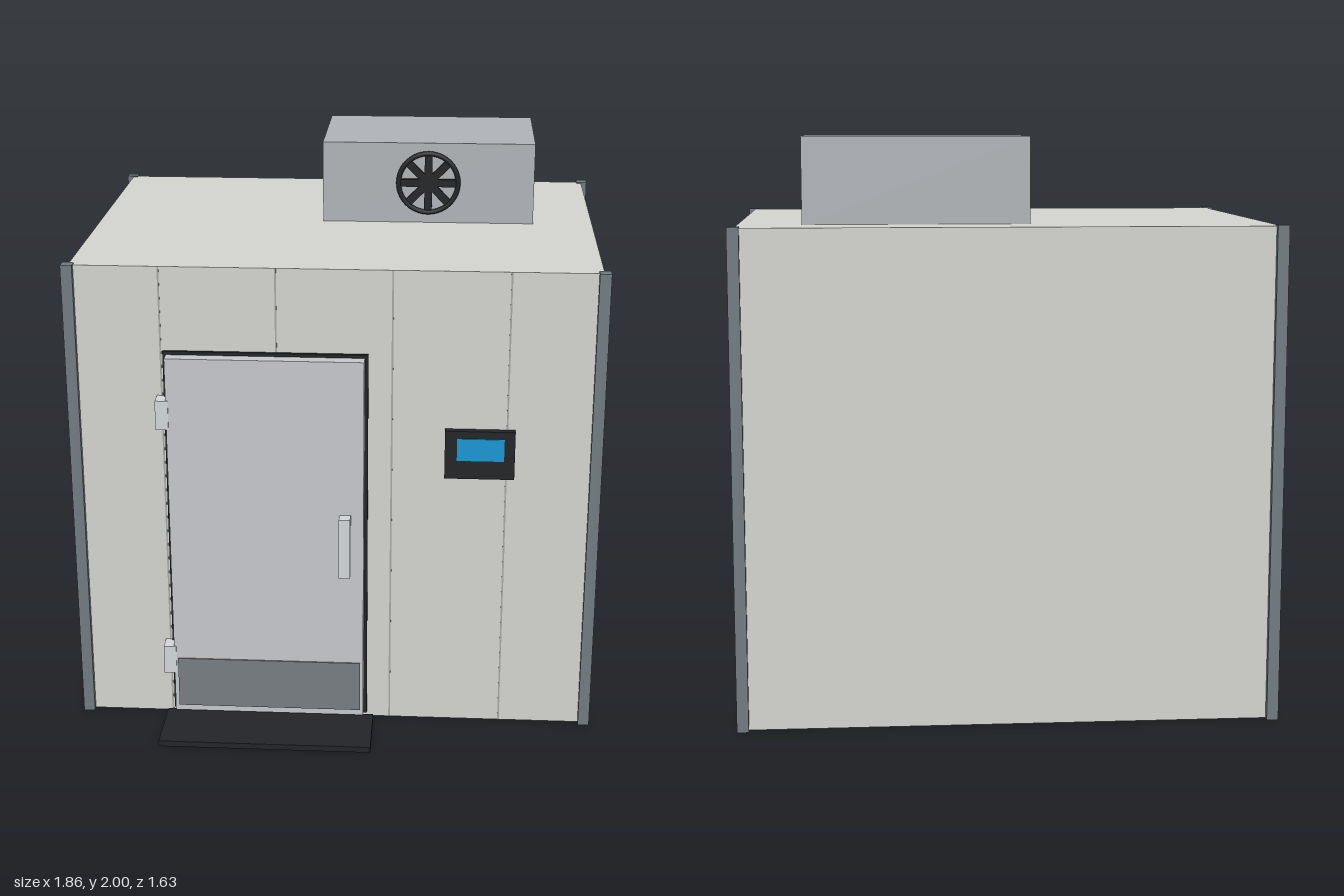
import * as THREE from 'three';

const mat = (color) => new THREE.MeshStandardMaterial({ color });

export function createModel() {
  const group = new THREE.Group();
  const wall = mat(0xd2d3ce), steel = mat(0x717a80), unit = mat(0xaeb2b6), doorGrey = mat(0xc3c6cb);
  const kick = mat(0x757c80), dark = mat(0x222427), pale = mat(0xd2d5d7), blue = mat(0x1b95d3), seam = mat(0xa4a6a3);

  // Box given by its extents on each axis
  const box = (name, material, [x0, x1], [y0, y1], [z0, z1], parent = group) => {
    const mesh = new THREE.Mesh(new THREE.BoxGeometry(x1 - x0, y1 - y0, z1 - z0), material);
    mesh.position.set((x0 + x1) / 2, (y0 + y1) / 2, (z0 + z1) / 2);
    mesh.name = name;
    parent.add(mesh);
    return mesh;
  };

  // Insulated room and its corner posts
  const front = 0.55, back = -0.797, top = 1.704;
  box('roomBody', wall, [-0.908, 0.908], [0.002, top], [back, front]);
  for (const x of [-0.91, 0.91]) {
    for (const z of [back, front]) {
      box('cornerPost', steel, [x - 0.02, x + 0.02], [0, 1.708], [z - 0.02, z + 0.02]);
    }
  }

  // Panel joints on the front wall
  for (const x of [-0.6, -0.2, 0.2, 0.6]) {
    box('panelSeam', seam, [x - 0.003, x + 0.003], [0.002, top], [front - 0.002, front + 0.002]);
  }

  // Door with gasket, kick plate, hinges and handle
  const door = new THREE.Group();
  door.name = 'door';
  group.add(door);
  box('doorGasket', dark, [-0.592, 0.118], [0.02, 1.405], [front - 0.01, 0.561], door);
  box('doorLeaf', doorGrey, [-0.58, 0.106], [0.035, 1.393], [0.561, 0.607], door);
  box('kickPlate', kick, [-0.566, 0.096], [0.058, 0.248], [0.605, 0.612], door);
  for (const y of [0.242, 1.187]) {
    box('hinge', pale, [-0.617, -0.572], [y - 0.053, y + 0.053], [front, 0.611], door);
  }
  box('handle', pale, [0.021, 0.061], [0.603, 0.827], [0.605, 0.651], door);

  // Threshold ramp
  box('ramp', dark, [-0.613, 0.143], [0.004, 0.025], [0.581, 0.817]);

  // Control panel
  box('controlPanel', dark, [0.385, 0.628], [0.963, 1.139], [front, 0.576]);
  box('controlScreen', blue, [0.427, 0.591], [1.031, 1.112], [0.574, 0.579]);

  // Roof cooling unit with its fan
  box('coolingUnit', unit, [-0.083, 0.691], [top, 2], [-0.61, -0.107]);
  const fan = new THREE.Group();
  fan.name = 'fan';
  fan.position.set(0.304, 1.854, -0.099);
  group.add(fan);
  const ring = new THREE.Mesh(new THREE.TorusGeometry(0.109, 0.009, 10, 40), dark);
  ring.name = 'fanRing';
  fan.add(ring);
  for (let i = 0; i < 4; i++) {
    const spoke = box('fanSpoke', dark, [-0.106, 0.106], [-0.014, 0.014], [-0.007, 0.005], fan);
    spoke.rotation.z = (i * Math.PI) / 4;
  }
  return group;
}
